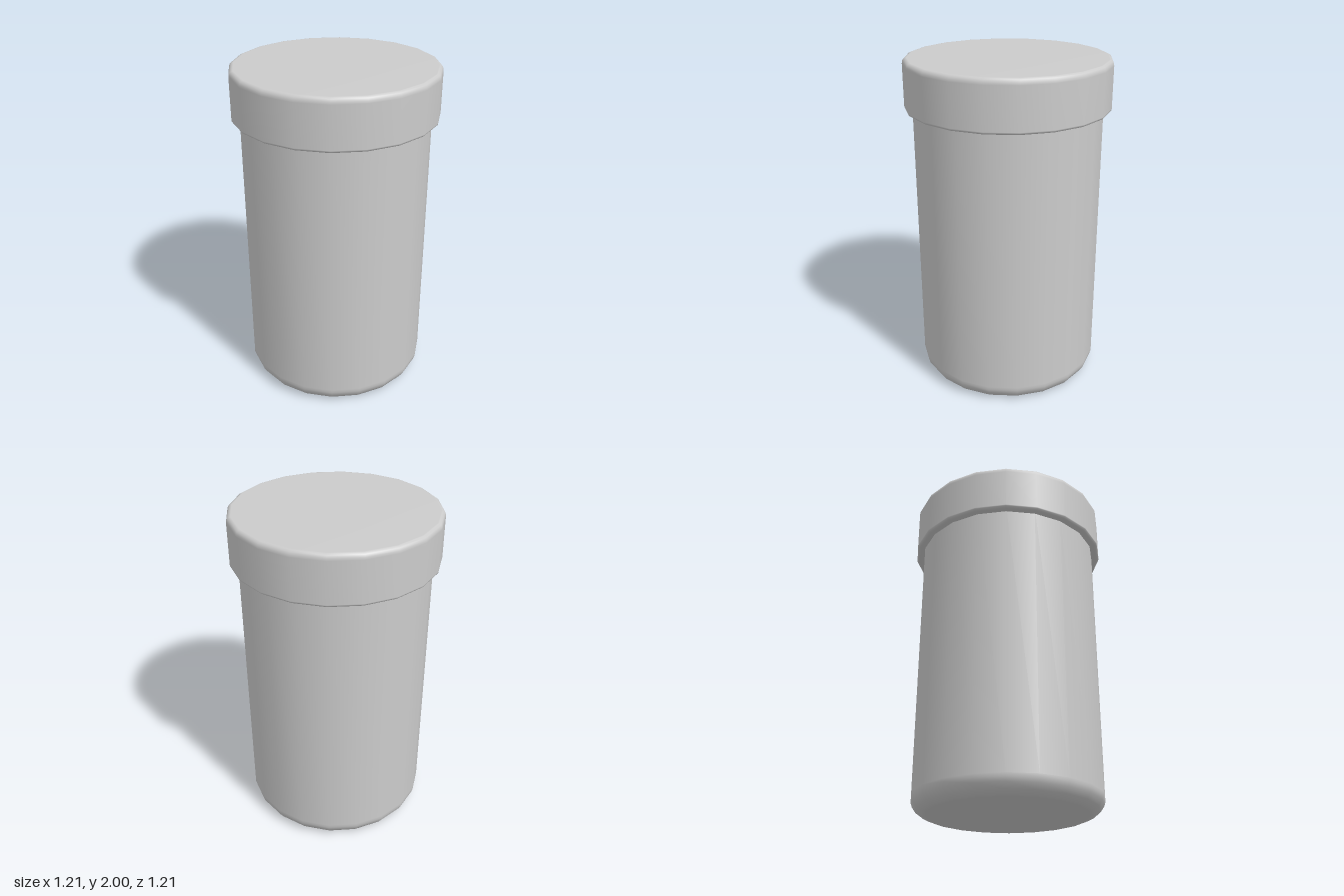
import * as THREE from 'three';

const SIDES = 20;

// Revolves a [radius, height] profile listed from bottom to top
function revolve(name, profile, material) {
  const points = profile.map(([r, y]) => new THREE.Vector2(r, y));
  const mesh = new THREE.Mesh(new THREE.LatheGeometry(points, SIDES), material);
  mesh.name = name;
  return mesh;
}

export function createModel() {
  const group = new THREE.Group();
  group.name = 'liddedJar';
  const material = new THREE.MeshStandardMaterial({ color: 0xcccccc });

  // Jar body: flat base, rounded bottom edge, straight wall running up into the lid
  group.add(revolve('jarBody', [
    [0, 0], [0.475, 0], [0.49, 0.002], [0.53, 0.022], [0.552, 0.055],
    [0.56, 0.08], [0.56, 0.1], [0.56, 1.75],
  ], material));

  // Lid: wider cap with a thin bevelled lower lip and a softened top edge
  group.add(revolve('lid', [
    [0.545, 1.705], [0.59, 1.705], [0.598, 1.706], [0.606, 1.713], [0.607, 1.72],
    [0.607, 1.965], [0.606, 1.978], [0.6, 1.992], [0.588, 1.999],
    [0.58, 2], [0, 2],
  ], material));

  return group;
}
